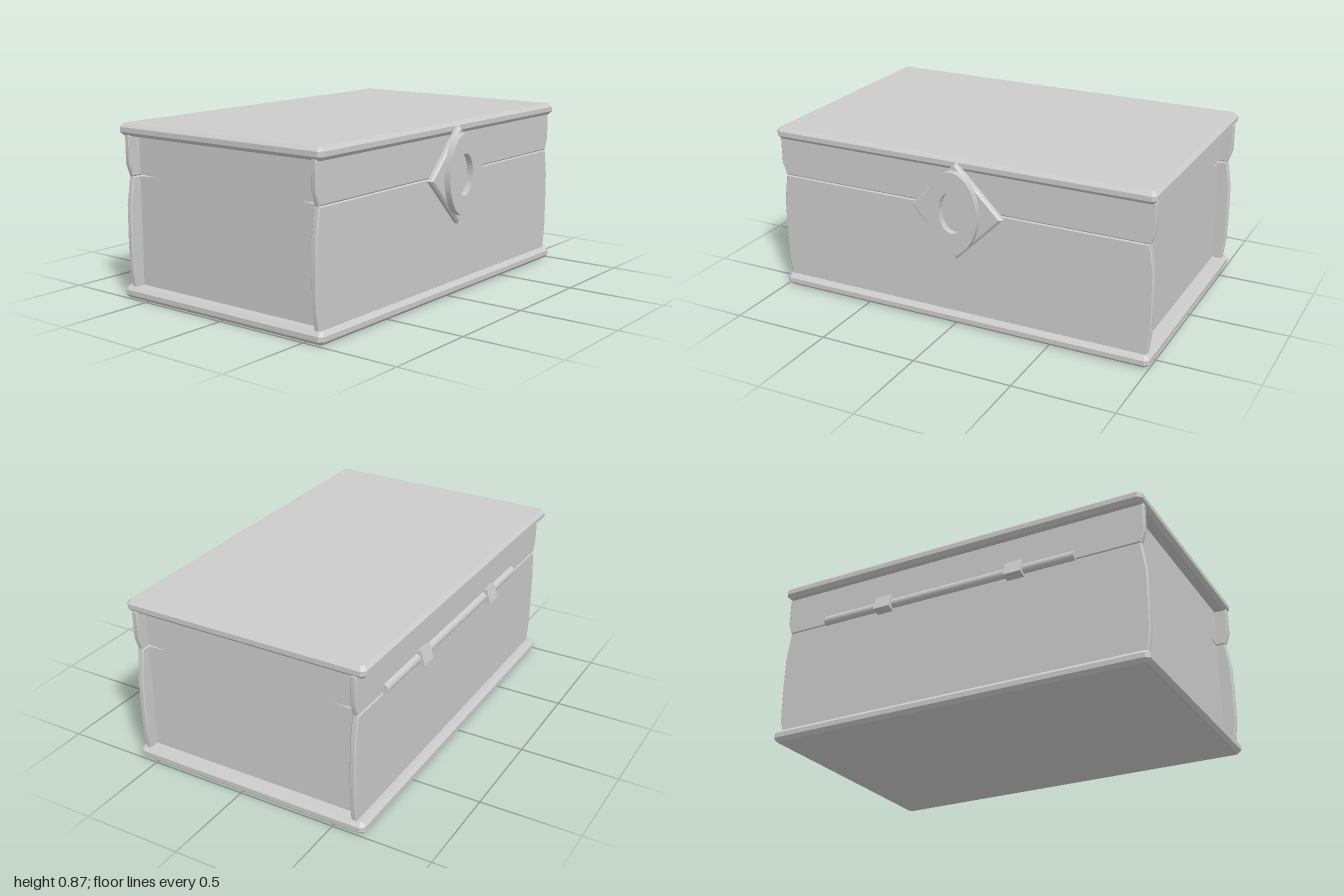
import * as THREE from 'three';
import { toCreasedNormals } from 'three/addons/utils/BufferGeometryUtils.js';

const material = new THREE.MeshStandardMaterial({ color: 0xcccccc });

function add(parent, name, geometry, x = 0, y = 0, z = 0) {
  const mesh = new THREE.Mesh(geometry, material);
  mesh.name = name;
  mesh.position.set(x, y, z);
  parent.add(mesh);
  return mesh;
}

const polygon = (points) => new THREE.Shape(points.map(([x, y]) => new THREE.Vector2(x, y)));

// Extrusion from z = 0 to z = depth whose chamfer stays inside the outline
function slab(shape, depth, bevel) {
  const geometry = new THREE.ExtrudeGeometry(shape, {
    depth: depth - 2 * bevel, curveSegments: 32,
    bevelEnabled: bevel > 0, bevelSegments: 1,
    bevelSize: bevel, bevelThickness: bevel, bevelOffset: -bevel,
  });
  geometry.translate(0, 0, bevel);
  return toCreasedNormals(geometry, 0.5);
}

// Mirrors a right-hand edge (bottom to top) into a closed outline
function mirrored(edge) {
  return polygon([...edge, ...edge.map(([x, y]) => [-x, y]).reverse()]);
}

export function createModel() {
  const model = new THREE.Group();
  model.name = 'box';

  // Chamfered base and lid plates
  const c = 0.02;
  const plate = slab(mirrored([[1 - c, -0.605], [1, -0.605 + c], [1, 0.66 - c], [1 - c, 0.66]]), 0.06, 0.018);
  plate.rotateX(-Math.PI / 2);
  add(model, 'basePlate', plate);
  add(model, 'lidPlate', plate, 0, 0.805, 0);

  // Front and back boards, pinched at the seam between body and lid
  const lower = slab(mirrored([[0.98, 0.055], [0.995, 0.165], [0.997, 0.32], [0.995, 0.47], [0.973, 0.608]]), 0.032, 0.006);
  const upper = slab(mirrored([[0.973, 0.608], [0.995, 0.67], [0.995, 0.81]]), 0.032, 0.006);
  for (const [side, z] of [['front', 0.543], ['back', -0.617]]) {
    add(model, side + 'LowerBoard', lower, 0, 0, z);
    add(model, side + 'UpperBoard', upper, 0, 0, z);
  }

  // Inset end walls with a tapering seam notch at each end
  const end = slab(polygon([
    [-0.545, 0.055], [0.587, 0.055], [0.587, 0.603], [0.47, 0.608], [0.587, 0.614],
    [0.587, 0.81], [-0.545, 0.81], [-0.545, 0.614], [-0.44, 0.608], [-0.545, 0.603],
  ]), 0.05, 0);
  end.rotateY(Math.PI / 2);
  add(model, 'rightWall', end, 0.88);
  add(model, 'leftWall', end, -0.93);

  // Clasp: peg, diamond plate and oval ring
  const clasp = new THREE.Group();
  clasp.name = 'clasp';
  clasp.position.set(0.028, 0.607, 0);
  model.add(clasp);
  const peg = new THREE.CylinderGeometry(0.07, 0.07, 0.04, 32);
  peg.rotateX(Math.PI / 2);
  add(clasp, 'claspPeg', peg, 0, 0.103, 0.585);
  const r = 0.242;
  add(clasp, 'claspDiamond', slab(polygon([[r, 0], [0, r], [-r, 0], [0, -r]]), 0.038, 0.01), 0, 0, 0.592);
  const ring = new THREE.Shape();
  ring.absellipse(0, 0, 0.132, 0.202, 0, Math.PI * 2);
  const hole = new THREE.Path();
  hole.absellipse(0, 0, 0.067, 0.103, 0, Math.PI * 2);
  ring.holes.push(hole);
  add(clasp, 'claspRing', slab(ring, 0.037, 0), -0.003, 0.006, 0.626);

  // Hinge: rod with two tilted brackets
  const rod = new THREE.CylinderGeometry(0.025, 0.025, 1.4, 24);
  rod.rotateZ(Math.PI / 2);
  add(model, 'hingeRod', rod, 0.05, 0.627, -0.615);
  for (const x of [0.39, -0.34]) {
    const bracket = add(model, 'hingeBracket', new THREE.BoxGeometry(0.09, 0.074, 0.05), x, 0.628, -0.626);
    bracket.rotation.x = 0.3;
  }
  return model;
}
